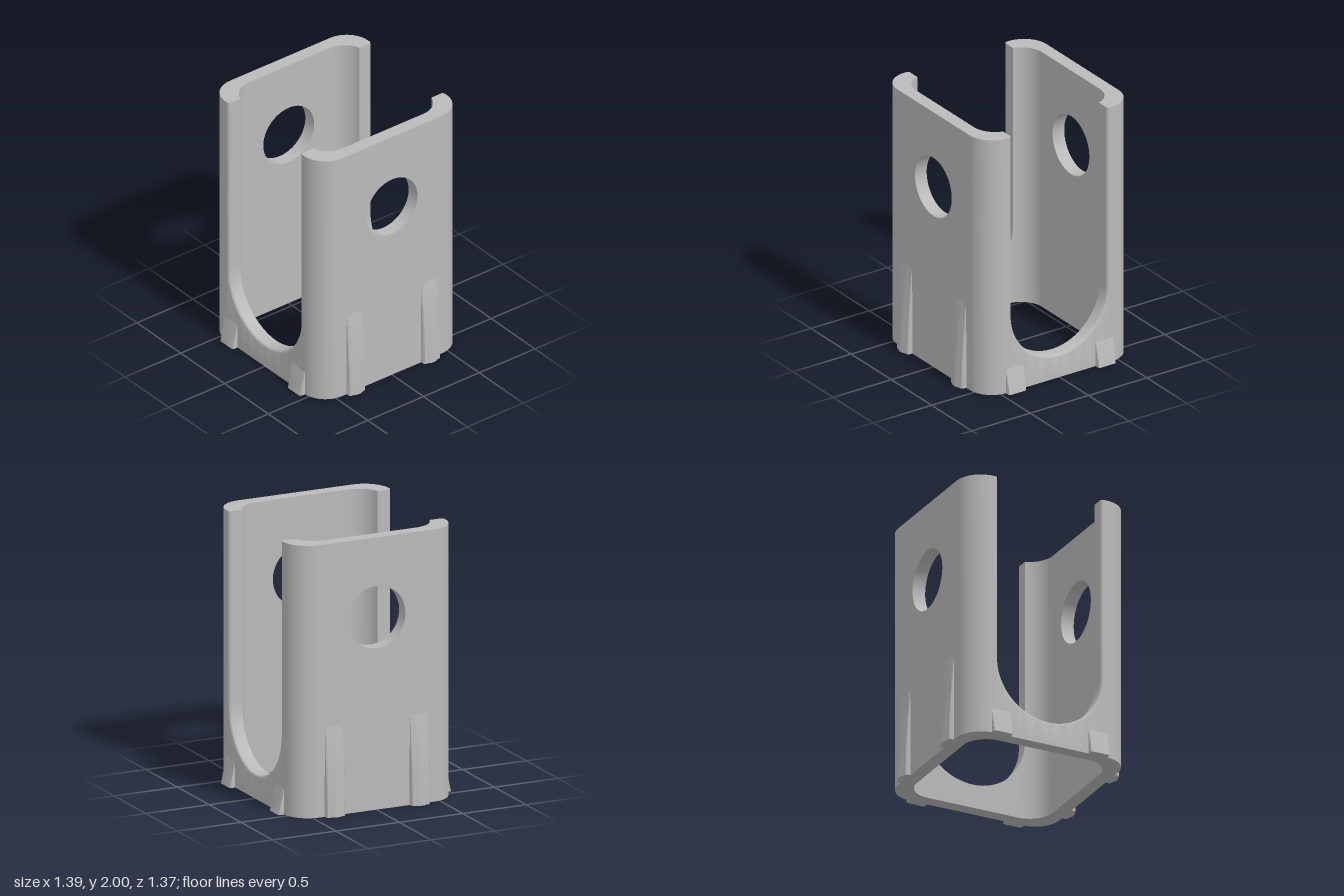
import * as THREE from 'three';
import { toCreasedNormals } from 'three/addons/utils/BufferGeometryUtils.js';

const OUT = 0.64, IN = 0.54, H = 2;        // tube half widths and height
const R_OUT = 0.19, R_IN = 0.18;           // corner radii
const SLOT = 0.41, SLOT_Y = 0.59;          // slot radius and centre height
const F = 0.02;                            // soft outer edge of the slot

// Skin a list of matching closed rings and cap both ends
function loft(rings) {
  const pos = [];
  const tri = (...pts) => pts.forEach((p) => pos.push(...p));
  const n = rings[0].length;
  for (let k = 0; k < rings.length - 1; k++) {
    const a = rings[k], b = rings[k + 1];
    for (let i = 0; i < n; i++) {
      const j = (i + 1) % n;
      tri(a[i], a[j], b[j]);
      tri(a[i], b[j], b[i]);
    }
  }
  const first = rings[0], last = rings[rings.length - 1];
  for (let i = 1; i < n - 1; i++) {
    tri(first[0], first[i + 1], first[i]);
    tri(last[0], last[i], last[i + 1]);
  }
  const g = new THREE.BufferGeometry();
  g.setAttribute('position', new THREE.Float32BufferAttribute(pos, 3));
  return toCreasedNormals(g, 0.6);
}

// Flat wall with a round hole
function sideWall() {
  const s = new THREE.Shape();
  const w = IN - R_IN;
  s.moveTo(-w, 0).lineTo(w, 0).lineTo(w, H).lineTo(-w, H).closePath();
  s.holes.push(new THREE.Path().absarc(0, 1.415, 0.228, 0, Math.PI * 2, true));
  const g = new THREE.ExtrudeGeometry(s, { depth: OUT - IN, bevelEnabled: false, curveSegments: 40 });
  return toCreasedNormals(g.rotateY(Math.PI / 2), 0.6);
}

// Rounded corner post, from the slot edge round to the flat wall
function cornerPost(sx, sz) {
  const pts = [];
  const arc = (cx, cy, r, a0, a1, n) => {
    for (let i = 0; i <= n; i++) {
      const a = a0 + (a1 - a0) * i / n;
      pts.push(new THREE.Vector2(sx * (cx + r * Math.cos(a)), -sz * (cy + r * Math.sin(a))));
    }
  };
  const c = IN - R_IN;
  arc(SLOT + F, OUT - F, F, Math.PI, Math.PI / 2, 5);
  arc(OUT - R_OUT, OUT - R_OUT, R_OUT, Math.PI / 2, 0, 16);
  pts.push(new THREE.Vector2(sx * OUT, -sz * c));
  arc(c, c, R_IN, 0, Math.acos((SLOT - c) / R_IN), 14);
  const g = new THREE.ExtrudeGeometry(new THREE.Shape(pts), { depth: H, bevelEnabled: false });
  return toCreasedNormals(g.rotateX(-Math.PI / 2), 0.6);
}

// Low panel under the U-shaped slot, with a rounded outer rim
function slotPanel() {
  const rings = [], c = IN - R_IN;
  for (let k = 0; k <= 48; k++) {
    const t = -Math.PI / 2 + Math.PI * k / 48;
    const at = (r, z) => [r * Math.sin(t), SLOT_Y - r * Math.cos(t), z];
    const over = Math.max(0, Math.abs(SLOT * Math.sin(t)) - c);
    const zIn = c + Math.sqrt(R_IN * R_IN - over * over);
    const ring = [[SLOT * Math.sin(t), 0, zIn], at(SLOT, zIn)];
    for (let i = 0; i <= 5; i++) {
      const a = Math.PI / 2 * i / 5;
      ring.push(at(SLOT + F * (1 - Math.cos(a)), OUT - F + F * Math.sin(a)));
    }
    ring.push([(SLOT + F) * Math.sin(t), 0, OUT]);
    rings.push(ring);
  }
  return loft(rings);
}

// Tapering rib: half outline [x, depth] and levels [y, depth scale, width scale]
function rib(half, levels) {
  return loft(levels.map(([y, d, w]) => [
    ...half.map(([x, z]) => [-x * w, y, z < 0 ? z : z * d]),
    ...half.slice().reverse().map(([x, z]) => [x * w, y, z < 0 ? z : z * d]),
  ]));
}

export function createModel() {
  const model = new THREE.Group();
  const grey = new THREE.MeshStandardMaterial({ color: 0xbababa });
  grey.name = 'plain grey';
  const add = (name, geometry, x = 0, z = 0, turn = 0) => {
    const m = new THREE.Mesh(geometry, grey);
    m.name = name;
    m.position.set(x, 0, z);
    m.rotation.y = turn;
    model.add(m);
  };

  // Tube body
  const wall = sideWall();
  add('leftWall', wall, IN);
  add('rightWall', wall, -OUT);
  for (const sx of [1, -1]) for (const sz of [1, -1]) add('cornerPost', cornerPost(sx, sz));
  const panel = slotPanel();
  add('frontPanel', panel);
  add('backPanel', panel, 0, 0, Math.PI);

  // Short ribs on front and back, tall ridged ribs on the sides
  const shortRib = rib(
    [[0.075, -0.02], [0.075, 0.028], [0.071, 0.038], [0.062, 0.043]],
    [[0, 1, 1], [0.17, 0.12, 1], [0.187, 0, 0.96]]);
  const tallRib = rib(
    [[0.075, -0.02], [0.073, 0.024], [0.066, 0.036], [0.054, 0.04], [0.036, 0.043], [0.018, 0.053]],
    [[0, 1, 1], [0.25, 0.8, 1], [0.45, 0.52, 0.99], [0.59, 0.2, 0.97], [0.66, 0, 0.85]]);
  for (const s of [1, -1]) {
    for (const side of [1, -1]) {
      add('shortRib', shortRib, s * 0.385, side * OUT, side > 0 ? 0 : Math.PI);
      add('tallRib', tallRib, side * OUT, s * 0.335, side * Math.PI / 2);
    }
  }
  return model;
}
